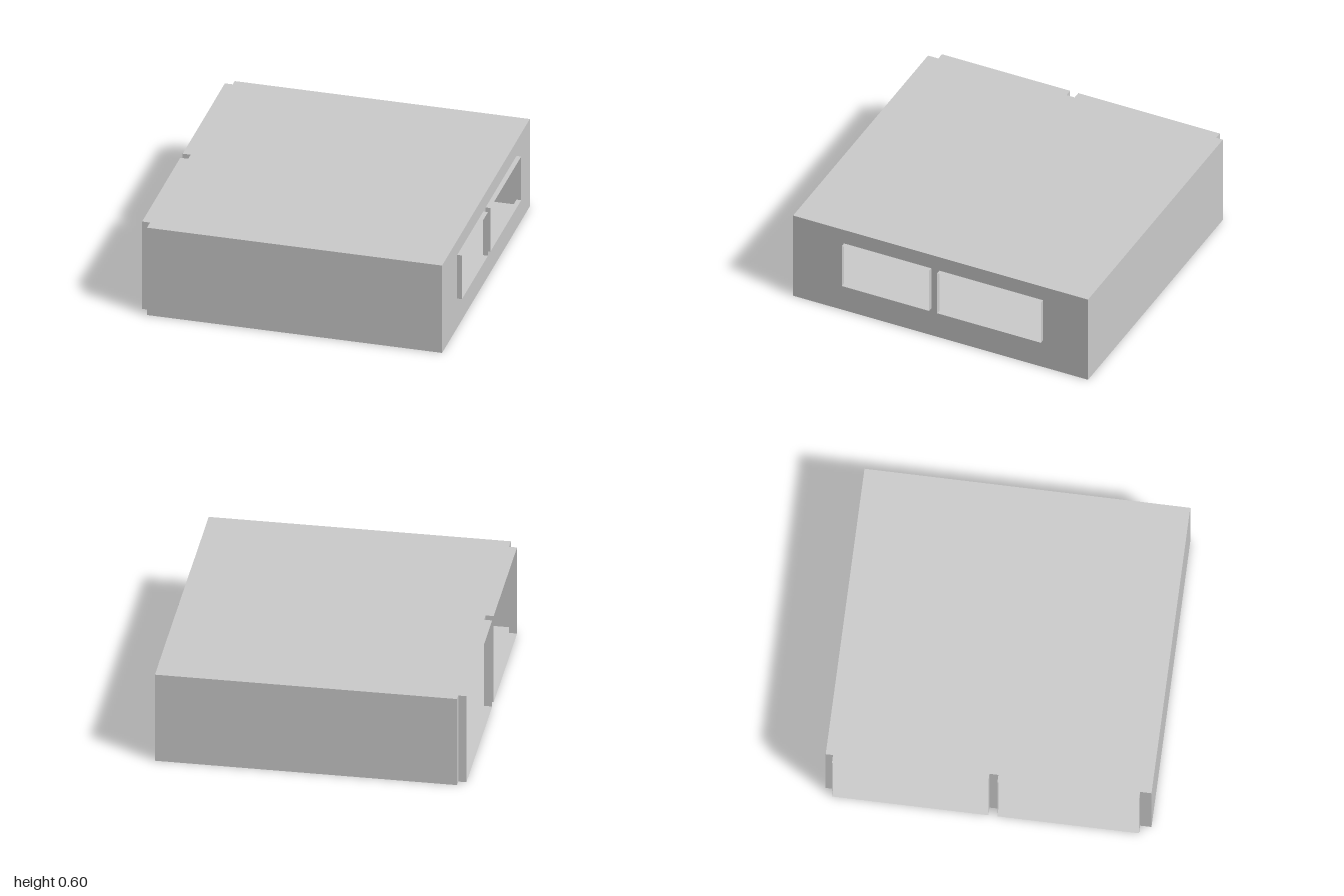
import * as THREE from 'three';

const H = 0.6, RIGHT = 0.94, RIM = 0.97, LEFT = -0.925, LIP = -0.975;
const doors = [[-0.955, 0.005], [0.06, 0.93]];     // z ranges, full height
const windows = [[-0.695, 0.008], [0.063, 0.655]]; // z ranges
const SILL = 0.2, HEAD = 0.5;

export function createModel() {
  const group = new THREE.Group();
  const material = new THREE.MeshStandardMaterial({ color: 0xcccccc, side: THREE.DoubleSide, flatShading: true });

  const add = (name, geometry) => {
    const mesh = new THREE.Mesh(geometry, material);
    mesh.name = name;
    group.add(mesh);
    return mesh;
  };
  const polygon = (points) => new THREE.Shape(points.map(([a, b]) => new THREE.Vector2(a, b)));
  const rect = (a0, a1, b0, b1) => [[a0, b0], [a1, b0], [a1, b1], [a0, b1]];

  // Sheets in the three main planes
  const acrossZ = (name, x0, x1, y0, y1, z, flip = false) => {
    const geometry = new THREE.PlaneGeometry(x1 - x0, y1 - y0);
    if (flip) geometry.rotateY(Math.PI);
    geometry.translate((x0 + x1) / 2, (y0 + y1) / 2, z);
    add(name, geometry);
  };
  const acrossX = (name, z0, z1, y0, y1, x, sign) => {
    const geometry = new THREE.PlaneGeometry(z1 - z0, y1 - y0).rotateY(sign * Math.PI / 2);
    geometry.translate(x, (y0 + y1) / 2, (z0 + z1) / 2);
    add(name, geometry);
  };
  const level = (name, x0, x1, z0, z1, y, sign) => {
    const geometry = new THREE.PlaneGeometry(x1 - x0, z1 - z0).rotateX(-sign * Math.PI / 2);
    geometry.translate((x0 + x1) / 2, y, (z0 + z1) / 2);
    add(name, geometry);
  };

  // Roof and floor, with lips reaching out over the door openings
  const plan = [[RIGHT, 1], [RIGHT, -1], [LEFT, -1]];
  for (const [z0, z1] of doors) plan.push([LEFT, z0], [LIP, z0], [LIP, z1], [LEFT, z1]);
  plan.push([LEFT, 1]);
  const slab = polygon(plan.map(([x, z]) => [x, -z]));
  add('roof', new THREE.ShapeGeometry(slab).rotateX(-Math.PI / 2).translate(0, H, 0));
  add('floor', new THREE.ShapeGeometry(polygon(plan)).rotateX(Math.PI / 2));

  // Front and back walls
  acrossZ('frontWall', LEFT, RIGHT, 0, H, 1);
  acrossZ('backWall', LEFT, RIGHT, 0, H, -1, true);

  // Right wall with two window holes
  const wall = polygon(rect(-1, 1, 0, H));
  for (const [z0, z1] of windows) wall.holes.push(polygon(rect(-z1, -z0, SILL, HEAD)));
  add('windowWall', new THREE.ShapeGeometry(wall).rotateY(Math.PI / 2).translate(RIGHT, 0, 0));

  // Thin rims standing out around the windows
  for (const [z0, z1] of windows) {
    acrossZ('windowRimSide', RIGHT, RIM, SILL, HEAD, z0, true);
    acrossZ('windowRimSide', RIGHT, RIM, SILL, HEAD, z1);
    level('windowRimSill', RIGHT, RIM, z0, z1, SILL, -1);
    level('windowRimHead', RIGHT, RIM, z0, z1, HEAD, 1);
  }

  // Narrow posts of the open left side
  const posts = [[-1, doors[0][0]], [doors[0][1], doors[1][0]], [doors[1][1], 1]];
  for (const [z0, z1] of posts) acrossX('doorPost', z0, z1, 0, H, LEFT, -1);

  // Jambs standing out beside the openings
  for (const [z0, z1] of doors) {
    acrossZ('doorJamb', LIP, LEFT, 0, H, z0, true);
    acrossZ('doorJamb', LIP, LEFT, 0, H, z1);
  }
  return group;
}
